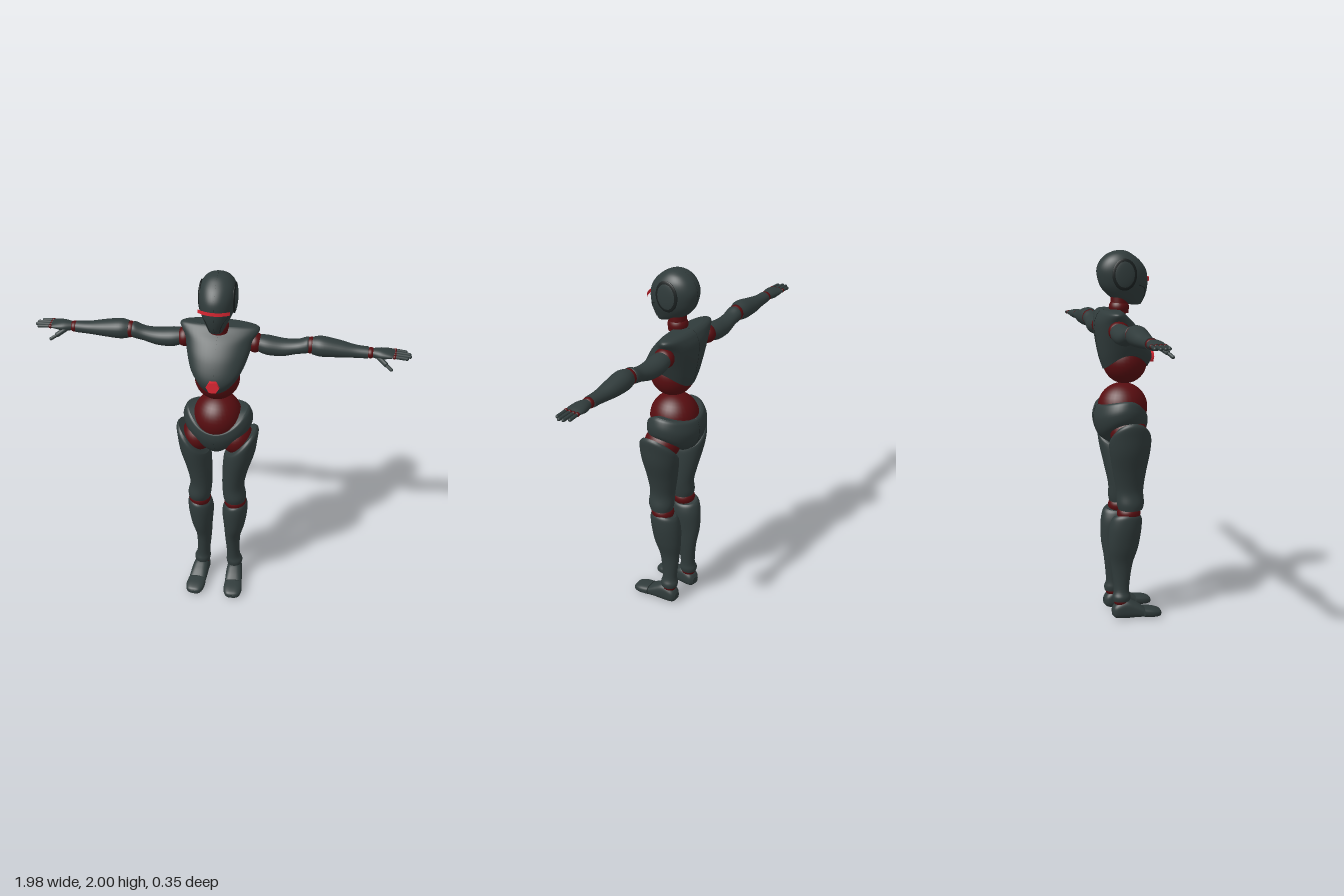
import * as THREE from 'three';

const mat = (name, color) => Object.assign(new THREE.MeshStandardMaterial({ color }), { name });
const armor = mat('slate armor', 0x303b3b);
const joint = mat('dark red joint', 0x570d10);
const glow = mat('bright red light', 0xdc2733);
const seamMat = mat('dark seam', 0x1a2020);
glow.side = THREE.DoubleSide;

const mix = (a, b, c, d, t) =>
  b + 0.5 * t * (c - a + t * (2 * a - 5 * b + 4 * c - d + t * (3 * (b - c) + d - a)));

// Smooth body through elliptical rings, listed from low to high:
// [y, centreX, halfWidth, zFront, zBack, dropFront, dropBack, outerRise]; s mirrors it.
function loft(rows, s = 1, power = 1, seg = 36, steps = 5) {
  const full = rows.map((r) => [...r, 0, 0, 0].slice(0, 8));
  const rings = [];
  for (let i = 0; i < full.length - 1; i++) {
    const [a, b, c, d] = [-1, 0, 1, 2].map((k) => full[Math.min(full.length - 1, Math.max(0, i + k))]);
    for (let k = 0; k < steps; k++) rings.push(b.map((_, n) => mix(a[n], b[n], c[n], d[n], k / steps)));
  }
  rings.push(full[full.length - 1]);
  const pos = [], index = [];
  const bend = (v) => Math.sign(v) * Math.abs(v) ** power;
  const addRing = ([y, cx, rx, zf, zb, dF, dB, rise]) => {
    for (let j = 0; j < seg; j++) {
      const t = (j / seg) * Math.PI * 2, c = Math.cos(t), n = Math.sin(t);
      pos.push(s * cx + rx * bend(c),
        y - dF * Math.max(n, 0) ** 2 - dB * Math.max(-n, 0) ** 2 + rise * s * c,
        (zf + zb) / 2 + ((zf - zb) / 2) * bend(n));
    }
  };
  rings.forEach(addRing);
  for (let i = 0; i < rings.length - 1; i++) {
    for (let j = 0; j < seg; j++) {
      const a = i * seg + j, b = i * seg + ((j + 1) % seg);
      index.push(a, a + seg, b, b, a + seg, b + seg);
    }
  }
  // separate cap vertices keep the rims crisp
  for (const top of [false, true]) {
    const r = top ? rings[rings.length - 1] : rings[0], start = pos.length / 3;
    addRing(r);
    pos.push(s * r[1], r[0] - (r[5] + r[6]) / 4, (r[3] + r[4]) / 2);
    for (let j = 0; j < seg; j++) {
      const a = start + j, b = start + ((j + 1) % seg);
      index.push(start + seg, ...(top ? [b, a] : [a, b]));
    }
  }
  const g = new THREE.BufferGeometry();
  g.setAttribute('position', new THREE.Float32BufferAttribute(pos, 3));
  g.setIndex(index);
  g.computeVertexNormals();
  return g;
}

function add(parent, name, geometry, material, x = 0, y = 0, z = 0) {
  const m = new THREE.Mesh(geometry, material);
  m.name = name;
  m.position.set(x, y, z);
  parent.add(m);
  return m;
}

function ball(parent, name, material, x, y, z, rx, ry = rx, rz = rx) {
  const m = add(parent, name, new THREE.SphereGeometry(1, 32, 20), material, x, y, z);
  m.scale.set(rx, ry, rz);
  return m;
}

// Thin centre line standing just proud of a lofted body
const seam = (rows) => loft(rows.map(([y, cx, , zf, zb, ...d]) => [y, cx, 0.002, zf + 0.0015, zb - 0.0015, ...d]), 1, 1, 8);

function rod(parent, name, material, from, to, radius) {
  const a = new THREE.Vector3(...from), b = new THREE.Vector3(...to), dir = b.clone().sub(a);
  const m = add(parent, name, new THREE.CapsuleGeometry(radius, dir.length(), 5, 10), material);
  m.position.copy(a).add(b).multiplyScalar(0.5);
  m.quaternion.setFromUnitVectors(new THREE.Vector3(0, 1, 0), dir.normalize());
}

const headRows = [[1.715, 0, 0.035, 0.085, 0.02], [1.75, 0, 0.056, 0.106, -0.07], [1.8, 0, 0.08, 0.12, -0.125],
  [1.85, 0, 0.093, 0.122, -0.146], [1.9, 0, 0.095, 0.112, -0.152], [1.945, 0, 0.086, 0.08, -0.133],
  [1.977, 0, 0.064, 0.04, -0.1], [1.994, 0, 0.036, 0.008, -0.062], [2.0, 0, 0.006, -0.02, -0.032]];
const chestRows = [[1.455, 0, 0.125, 0.12, -0.12, 0.075, 0.08], [1.5, 0, 0.145, 0.143, -0.142, 0.06, 0.06],
  [1.56, 0, 0.165, 0.1, -0.16, 0.02, 0.02], [1.62, 0, 0.18, 0.04, -0.165], [1.665, 0, 0.207, -0.01, -0.15],
  [1.683, 0, 0.195, -0.03, -0.135], [1.69, 0, 0.15, -0.04, -0.12]];
const pelvisRows = [[1.0, 0, 0.012, 0.02, -0.03, 0.045, 0.045], [1.045, 0, 0.09, 0.06, -0.09, 0.08, 0.07],
  [1.095, 0, 0.17, 0.095, -0.15, 0.09, 0.07], [1.15, 0, 0.188, 0.118, -0.175, 0.085, 0.045],
  [1.2, 0, 0.175, 0.118, -0.162, 0.09, 0.03], [1.215, 0, 0.16, 0.108, -0.145, 0.1, 0.03]];
const thighRows = [[0.615, 0.1, 0.06, 0.07, -0.06], [0.65, 0.098, 0.064, 0.08, -0.068], [0.72, 0.09, 0.061, 0.078, -0.07],
  [0.82, 0.1, 0.07, 0.09, -0.09], [0.92, 0.12, 0.085, 0.105, -0.11, 0, 0, 0.02],
  [0.98, 0.13, 0.088, 0.11, -0.118, 0, 0, 0.05], [1.01, 0.135, 0.088, 0.105, -0.115, 0, 0, 0.075],
  [1.025, 0.135, 0.076, 0.09, -0.1, 0, 0, 0.08]];
const shinRows = [[0.1, 0.095, 0.042, 0.003, -0.09], [0.125, 0.094, 0.046, 0.006, -0.094], [0.17, 0.088, 0.037, 0, -0.085],
  [0.3, 0.083, 0.043, 0.02, -0.098], [0.4, 0.092, 0.058, 0.05, -0.112], [0.5, 0.096, 0.07, 0.066, -0.112],
  [0.56, 0.1, 0.067, 0.068, -0.1, 0, 0, 0.01], [0.58, 0.1, 0.057, 0.058, -0.085, 0, 0, 0.012]];
// Feet run along z, arms run along x once turned
const footRows = [[-0.095, 0, 0.022, -0.02, -0.06], [-0.075, 0, 0.04, -0.004, -0.085], [-0.02, 0, 0.045, 0, -0.108],
  [0.03, 0, 0.048, -0.003, -0.088], [0.075, 0, 0.049, -0.005, -0.06]];
const toeRows = [[0.08, 0, 0.051, -0.004, -0.06], [0.13, 0, 0.052, -0.001, -0.053], [0.165, 0, 0.04, -0.003, -0.042],
  [0.176, 0, 0.02, -0.01, -0.03]];
const upperArmRows = [[0.195, 0, 0.042, -0.035, -0.13], [0.25, 0.01, 0.05, -0.025, -0.14], [0.33, 0.015, 0.045, -0.03, -0.135],
  [0.4, 0.003, 0.038, -0.035, -0.125], [0.452, -0.012, 0.043, -0.034, -0.125], [0.466, -0.012, 0.036, -0.04, -0.118]];
const forearmRows = [[0.482, -0.013, 0.046, -0.034, -0.122], [0.53, -0.013, 0.053, -0.022, -0.134], [0.62, -0.007, 0.043, -0.03, -0.13],
  [0.7, -0.002, 0.033, -0.04, -0.115], [0.768, -0.002, 0.03, -0.042, -0.11]];
const palmRows = [[0.788, -0.003, 0.022, -0.05, -0.103], [0.83, -0.003, 0.027, -0.035, -0.117], [0.875, -0.006, 0.018, -0.033, -0.124],
  [0.9, -0.006, 0.011, -0.036, -0.122]];

function makeArm(s) {
  const arm = new THREE.Group();
  arm.name = s > 0 ? 'leftArm' : 'rightArm';
  arm.position.y = 1.59;
  for (const [name, rows] of [['upperArm', upperArmRows], ['forearm', forearmRows], ['palm', palmRows]])
    add(arm, name, loft(rows, s, 1, 28), armor).rotation.z = -s * Math.PI / 2;
  ball(arm, 'shoulderJoint', joint, s * 0.185, 0, -0.08, 0.045, 0.052, 0.056);
  ball(arm, 'elbowJoint', joint, s * 0.475, 0.013, -0.079, 0.036, 0.044, 0.043);
  ball(arm, 'wristJoint', joint, s * 0.779, 0.002, -0.076, 0.025, 0.028, 0.032);
  // fingers
  [0.965, 0.98, 0.976, 0.955].forEach((tip, i) => {
    const z = -0.045 - i * 0.0225;
    ball(arm, 'knuckle', joint, s * 0.902, 0.006, z, 0.011);
    rod(arm, 'finger', armor, [s * 0.912, 0.006, z], [s * tip, 0.002, z], 0.009);
  });
  rod(arm, 'thumbBase', armor, [s * 0.82, -0.006, -0.052], [s * 0.86, -0.028, -0.025], 0.013);
  rod(arm, 'thumbTip', armor, [s * 0.865, -0.032, -0.021], [s * 0.892, -0.047, -0.007], 0.009);
  return arm;
}

function makeLeg(s) {
  const leg = new THREE.Group();
  leg.name = s > 0 ? 'leftLeg' : 'rightLeg';
  ball(leg, 'hipJoint', joint, s * 0.103, 1.035, -0.005, 0.09, 0.09, 0.1);
  add(leg, 'thigh', loft(thighRows, s), armor);
  ball(leg, 'kneeJoint', joint, s * 0.1, 0.594, -0.004, 0.061, 0.05, 0.064);
  add(leg, 'shin', loft(shinRows, s), armor);
  ball(leg, 'ankleJoint', joint, s * 0.095, 0.1, -0.044, 0.04, 0.036, 0.042);
  const foot = new THREE.Group();
  foot.name = 'foot';
  foot.position.x = s * 0.1;
  foot.rotation.y = s * 0.08;
  add(foot, 'heel', loft(footRows, 1, 0.75), armor).rotation.x = Math.PI / 2;
  add(foot, 'toe', loft(toeRows, 1, 0.75), armor).rotation.x = Math.PI / 2;
  leg.add(foot);
  return leg;
}

function makeHead() {
  const head = new THREE.Group();
  head.name = 'head';
  add(head, 'helmet', loft(headRows, 1, 0.95, 48), armor);
  add(head, 'helmetSeam', seam(headRows), seamMat);
  // curved visor strip
  add(head, 'visor', new THREE.CylinderGeometry(0.147, 0.147, 0.02, 24, 1, true, -0.59, 1.18), glow, 0, 1.85, -0.019);
  for (const s of [-1, 1]) {
    ball(head, 'earRim', seamMat, s * 0.086, 1.875, -0.022, 0.0115, 0.083, 0.067);
    ball(head, 'earPlate', armor, s * 0.086, 1.875, -0.022, 0.014, 0.077, 0.061);
    const line = [[0.075, 1.82, 0.058], [0.05, 1.8, 0.095], [0.032, 1.76, 0.095], [0.025, 1.725, 0.083]]
      .map(([x, y, z]) => new THREE.Vector3(s * x, y, z));
    add(head, 'jawSeam', new THREE.TubeGeometry(new THREE.CatmullRomCurve3(line), 24, 0.003, 6), seamMat);
  }
  return head;
}

export function createModel() {
  const model = new THREE.Group();
  model.name = 'robot';
  model.add(makeHead());
  // neck
  add(model, 'neck', new THREE.CylinderGeometry(0.044, 0.05, 0.12, 28), joint, 0, 1.73, -0.03);
  ball(model, 'neckBall', joint, 0, 1.7, -0.032, 0.054, 0.048, 0.054);
  // torso
  add(model, 'chest', loft(chestRows, 1, 0.95, 48), armor);
  add(model, 'chestSeam', seam(chestRows), seamMat);
  add(model, 'chestLight', new THREE.CylinderGeometry(0.035, 0.035, 0.03, 6), glow, 0, 1.435, 0.14).rotation.set(Math.PI / 2, Math.PI / 6, 0);
  ball(model, 'upperAbdomen', joint, 0, 1.41, 0, 0.119);
  ball(model, 'lowerAbdomen', joint, 0, 1.163, -0.013, 0.13, 0.133, 0.135);
  // hips
  add(model, 'pelvis', loft(pelvisRows, 1, 1, 48), armor);
  add(model, 'pelvisSeam', seam(pelvisRows), seamMat);
  for (const s of [-1, 1]) model.add(makeArm(s), makeLeg(s));
  return model;
}
